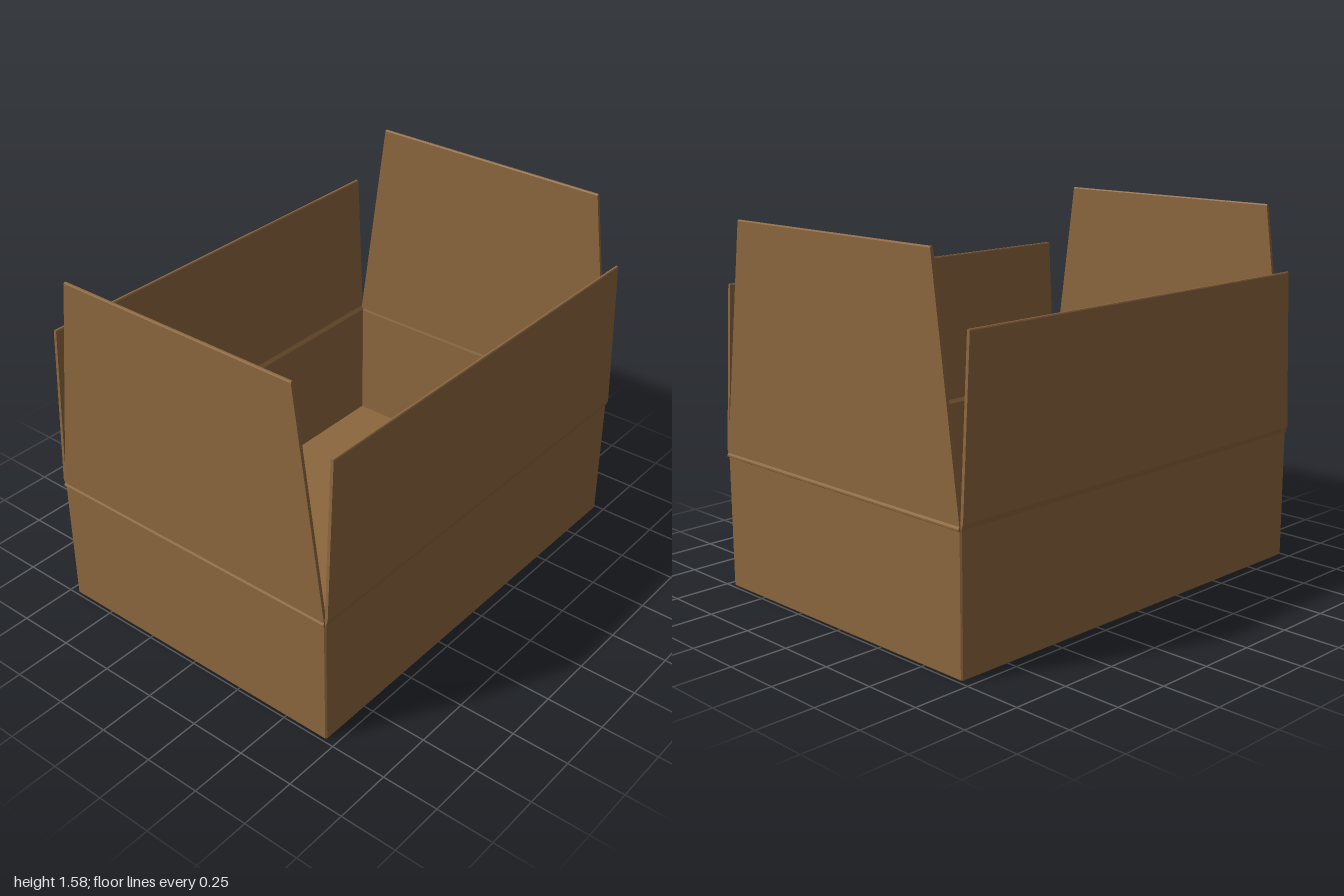
import * as THREE from 'three';

const X = 0.71, Z = 0.99, T = 0.014, C = 0.006;

// Rectangle with small chamfered corners
function outline(path, x, z, c) {
  const pts = [[x - c, -z], [x, -z + c], [x, z - c], [x - c, z], [-x + c, z], [-x, z - c], [-x, -z + c], [-x + c, -z]];
  path.setFromPoints(pts.map(([a, b]) => new THREE.Vector2(a, b)));
  return path;
}

// Folded flap: cross-section (outward, up) extruded along its length, tapering with height
function flapGeometry(section, yBase, yTop, halfBase, halfTop) {
  const shape = new THREE.Shape(section.map(([a, b]) => new THREE.Vector2(a, b)));
  const geo = new THREE.ExtrudeGeometry(shape, { depth: 1, bevelEnabled: false });
  const p = geo.attributes.position;
  for (let i = 0; i < p.count; i++) {
    const t = Math.max(0, (p.getY(i) - yBase) / (yTop - yBase));
    const half = THREE.MathUtils.lerp(halfBase, halfTop, t);
    p.setZ(i, p.getZ(i) > 0.5 ? half : -half);
  }
  geo.computeVertexNormals();
  return geo;
}

export function createModel() {
  const group = new THREE.Group();
  const cardboard = new THREE.MeshStandardMaterial({ color: 0x8c673e });
  cardboard.name = 'cardboard';

  const add = (name, geo) => {
    const mesh = new THREE.Mesh(geo, cardboard);
    mesh.name = name;
    group.add(mesh);
    return mesh;
  };

  // Four walls as one upright frame
  const frame = outline(new THREE.Shape(), X, Z, C);
  frame.holes.push(outline(new THREE.Path(), X - T, Z - T, 0.002));
  const walls = new THREE.ExtrudeGeometry(frame, { depth: 0.569, bevelEnabled: false });
  walls.rotateX(-Math.PI / 2).translate(0, 0.006, 0);
  add('walls', walls);

  // Floor with a chamfered lower edge
  const floor = new THREE.ExtrudeGeometry(outline(new THREE.Shape(), X - 0.006, Z - 0.006, C), {
    depth: 0.002, bevelEnabled: true, bevelThickness: 0.006, bevelSize: 0.006, bevelSegments: 1,
  });
  floor.rotateX(-Math.PI / 2).translate(0, 0.006, 0);
  add('floor', floor);

  // Long side flaps
  const sideSection = [
    [X - T, 0.573], [X, 0.573], [0.72, 0.6], [0.72, 1.292], [0.717, 1.297],
    [0.709, 1.297], [0.706, 1.292], [0.706, 0.606], [X - T, 0.588],
  ];
  const side = flapGeometry(sideSection, 0.595, 1.297, 0.988, 0.948);
  add('leftFlap', side);
  add('rightFlap', side).rotation.y = Math.PI;

  // Taller end flaps with a raised fold line
  const endSection = [
    [Z - T, 0.57], [Z, 0.57], [0.998, 0.575], [0.998, 0.582], [0.993, 0.59], [0.993, 1.57], [0.99, 1.575],
    [0.982, 1.575], [0.979, 1.57], [0.979, 0.592], [Z - T, 0.582],
  ];
  const end = flapGeometry(endSection, 0.58, 1.575, 0.708, 0.57);
  add('frontFlap', end).rotation.y = -Math.PI / 2;
  add('backFlap', end).rotation.y = Math.PI / 2;

  return group;
}
